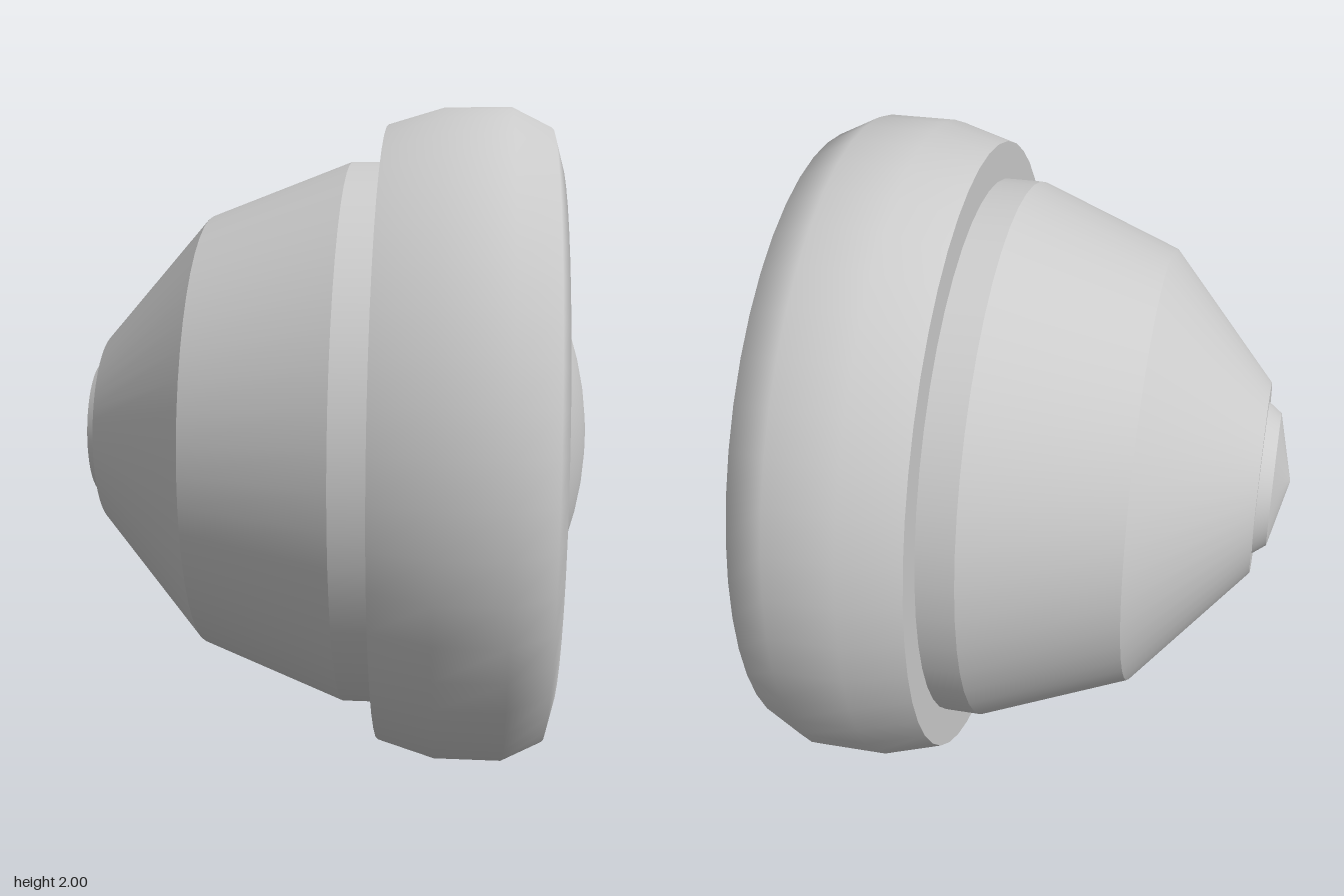
import * as THREE from 'three';
import { mergeGeometries } from 'three/addons/utils/BufferGeometryUtils.js';

const SEGMENTS = 48;

// Revolves a profile of [x, radius] points around the x axis
function revolve(profile) {
  const points = profile.map(([x, r]) => new THREE.Vector2(r, x));
  return new THREE.LatheGeometry(points, SEGMENTS).rotateZ(-Math.PI / 2);
}

// Same, but with a sharp edge at every profile point
function revolveSharp(profile) {
  return mergeGeometries(profile.slice(1).map((p, i) => revolve([profile[i], p])));
}

export function createModel() {
  const model = new THREE.Group();
  const grey = new THREE.MeshStandardMaterial({ color: 0xcccccc });
  grey.name = 'grey';

  const add = (name, geometry) => {
    const mesh = new THREE.Mesh(geometry, grey);
    mesh.name = name;
    mesh.position.y = 1;
    model.add(mesh);
  };

  // Shallow pointed cap at the narrow end
  add('endCap', revolveSharp([[-0.79, 0], [-0.74, 0.205], [-0.7, 0.235]]));

  // Tapered housing with a flat end ring and a straight collar
  add('housing', revolveSharp([
    [-0.7, 0.22], [-0.7, 0.295], [-0.37, 0.672], [0.06, 0.838], [0.2, 0.838],
  ]));

  // Flat back of the rim
  add('rimBack', revolve([[0.17, 0.82], [0.17, 0.95]]));

  // Rounded rim
  add('rim', revolve([
    [0.17, 0.95], [0.34, 1], [0.54, 1], [0.66, 0.94],
    [0.687, 0.84], [0.645, 0.765], [0.55, 0.732], [0.44, 0.732],
  ]));

  // Domed lens, a cap of a unit sphere
  const lens = [];
  for (let i = 0; i <= 10; i++) {
    const a = 0.83 * (1 - i / 10);
    lens.push([Math.cos(a) - 0.215, Math.sin(a)]);
  }
  add('lens', revolve(lens));

  return model;
}
